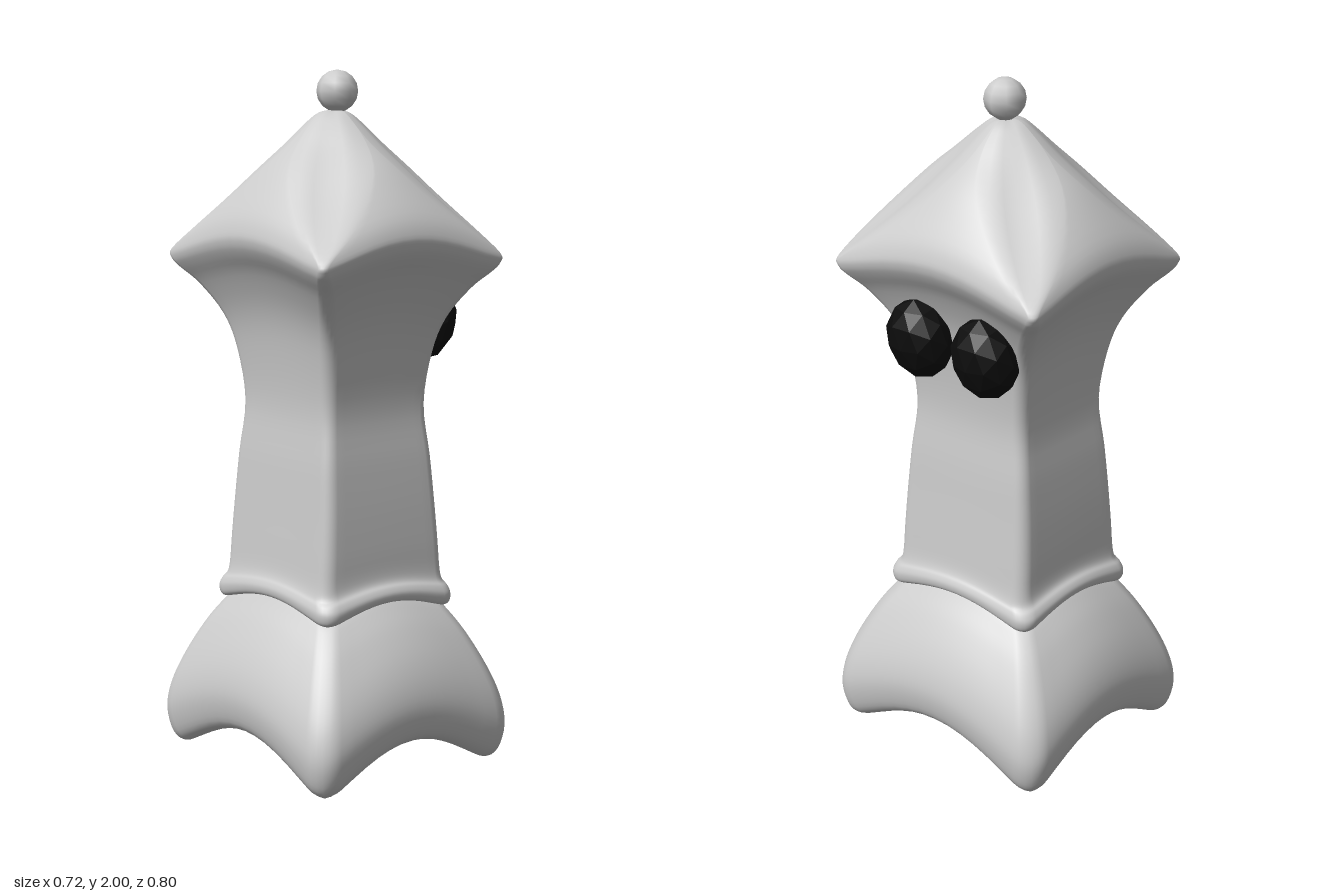
import * as THREE from 'three';

const grey = new THREE.MeshStandardMaterial({ color: 0xcccccc });
const black = new THREE.MeshStandardMaterial({ color: 0x0c0c0c, flatShading: true });

// Rounded-rectangle outline with a fixed point count, so rings of any roundness can be joined.
function outline(hx, hz, round) {
  const r = Math.min(hx, hz) * round, points = [];
  const arc = 6, edge = 12;
  for (let c = 0; c < 4; c++) {
    const sx = c === 0 || c === 3 ? 1 : -1, sz = c < 2 ? 1 : -1;
    const cx = sx * (hx - r), cz = sz * (hz - r);
    for (let i = 0; i <= arc; i++) {
      const a = (c + i / arc) * Math.PI / 2;
      points.push([cx + r * Math.cos(a), cz + r * Math.sin(a)]);
    }
    // straight run to the next corner
    const alongX = c % 2 === 0;
    const [x0, z0] = points[points.length - 1];
    for (let i = 1; i < edge; i++) {
      const k = 1 - 2 * i / edge;
      points.push(alongX ? [x0 * k, z0] : [x0, z0 * k]);
    }
  }
  return points;
}

// Skins sections [cornerY, liftAtSideMiddle, halfX, halfZ, roundness], smoothed along the height.
function loft(name, sections, steps = 4) {
  const curve = f => new THREE.CatmullRomCurve3(
    sections.map(s => new THREE.Vector3(...f(s))), false, 'catmullrom', 0.5);
  const heights = curve(s => [s[0], s[1], s[4]]);
  const widths = curve(s => [s[2], s[3], 0]);
  const rows = (sections.length - 1) * steps;
  const pos = [], index = [];
  let n = 0;
  for (let j = 0; j <= rows; j++) {
    const h = heights.getPoint(j / rows), w = widths.getPoint(j / rows);
    const hx = Math.max(w.x, 0.0005), hz = Math.max(w.y, 0.0005);
    const ring = outline(hx, hz, THREE.MathUtils.clamp(h.z, 0.04, 1));
    n = ring.length;
    for (const [x, z] of ring) {
      const u = Math.min(Math.abs(x) / hx, Math.abs(z) / hz, 1);
      pos.push(x, h.x + h.y * (1 - u * u) ** 1.5, z);
    }
  }
  for (let j = 0; j < rows; j++) {
    for (let i = 0; i < n; i++) {
      const a = j * n + i, b = j * n + (i + 1) % n, c = a + n, d = b + n;
      index.push(a, c, b, b, c, d);
    }
  }
  const geo = new THREE.BufferGeometry();
  geo.setAttribute('position', new THREE.Float32BufferAttribute(pos, 3));
  geo.setIndex(index);
  geo.computeVertexNormals();
  const mesh = new THREE.Mesh(geo, grey);
  mesh.name = name;
  return mesh;
}

export function createModel() {
  const group = new THREE.Group();
  group.name = 'squareTowerFigure';

  // Flared foot with arched sides and a shallow hollow underside
  group.add(loft('flaredBase', [
    [0.155, 0, 0, 0, 0.9],
    [0.138, 0.014, 0.1, 0.112, 0.7],
    [0.09, 0.052, 0.2, 0.226, 0.4],
    [0.025, 0.097, 0.28, 0.318, 0.24],
    [0, 0.115, 0.315, 0.355, 0.2],
    [0.025, 0.115, 0.345, 0.385, 0.2],
    [0.1, 0.11, 0.36, 0.4, 0.2],
    [0.18, 0.1, 0.35, 0.39, 0.2],
    [0.27, 0.085, 0.32, 0.359, 0.2],
    [0.37, 0.06, 0.276, 0.31, 0.2],
    [0.44, 0.042, 0.236, 0.264, 0.2],
    [0.47, 0.04, 0.215, 0.235, 0.2],
  ]));

  // Waisted body: rolled band at the bottom, spreading brim and pointed cap at the top
  group.add(loft('bodyAndCap', [
    [0.47, 0.042, 0.205, 0.225, 0.2],
    [0.457, 0.044, 0.226, 0.255, 0.2],
    [0.465, 0.042, 0.239, 0.269, 0.2],
    [0.49, 0.036, 0.243, 0.273, 0.2],
    [0.513, 0.03, 0.237, 0.264, 0.2],
    [0.532, 0.024, 0.228, 0.249, 0.2],
    [0.57, 0.016, 0.221, 0.242, 0.18],
    [0.65, 0.01, 0.215, 0.239, 0.18],
    [0.77, 0.005, 0.206, 0.232, 0.18],
    [0.9, 0, 0.197, 0.221, 0.18],
    [1.05, 0, 0.184, 0.206, 0.18],
    [1.2, 0.018, 0.2, 0.225, 0.18],
    [1.3, 0.03, 0.226, 0.256, 0.16],
    [1.385, 0.045, 0.272, 0.308, 0.13],
    [1.432, 0.055, 0.31, 0.349, 0.1],
    [1.458, 0.063, 0.326, 0.365, 0.08],
    [1.487, 0.068, 0.326, 0.366, 0.09],
    [1.545, 0.07, 0.3, 0.336, 0.38],
    [1.65, 0.07, 0.222, 0.245, 0.75],
    [1.76, 0.04, 0.14, 0.152, 0.95],
    [1.83, 0.02, 0.087, 0.092, 1],
    [1.873, 0.008, 0.045, 0.047, 1],
    [1.888, 0, 0, 0, 1],
  ]));

  // Ball on the tip
  const ball = new THREE.Mesh(new THREE.SphereGeometry(0.06, 8, 8), grey);
  ball.name = 'tipBall';
  ball.position.set(0.008, 1.94, 0.005);
  group.add(ball);

  // Pair of faceted eyes leaning with the wall under the brim
  for (const [name, z] of [['leftEye', -0.13], ['rightEye', 0.112]]) {
    const eye = new THREE.Mesh(new THREE.IcosahedronGeometry(1, 1), black);
    eye.name = name;
    eye.scale.set(0.085, 0.122, 0.104);
    eye.rotation.z = -0.2;
    eye.position.set(0.249, 1.283, z);
    group.add(eye);
  }
  return group;
}
